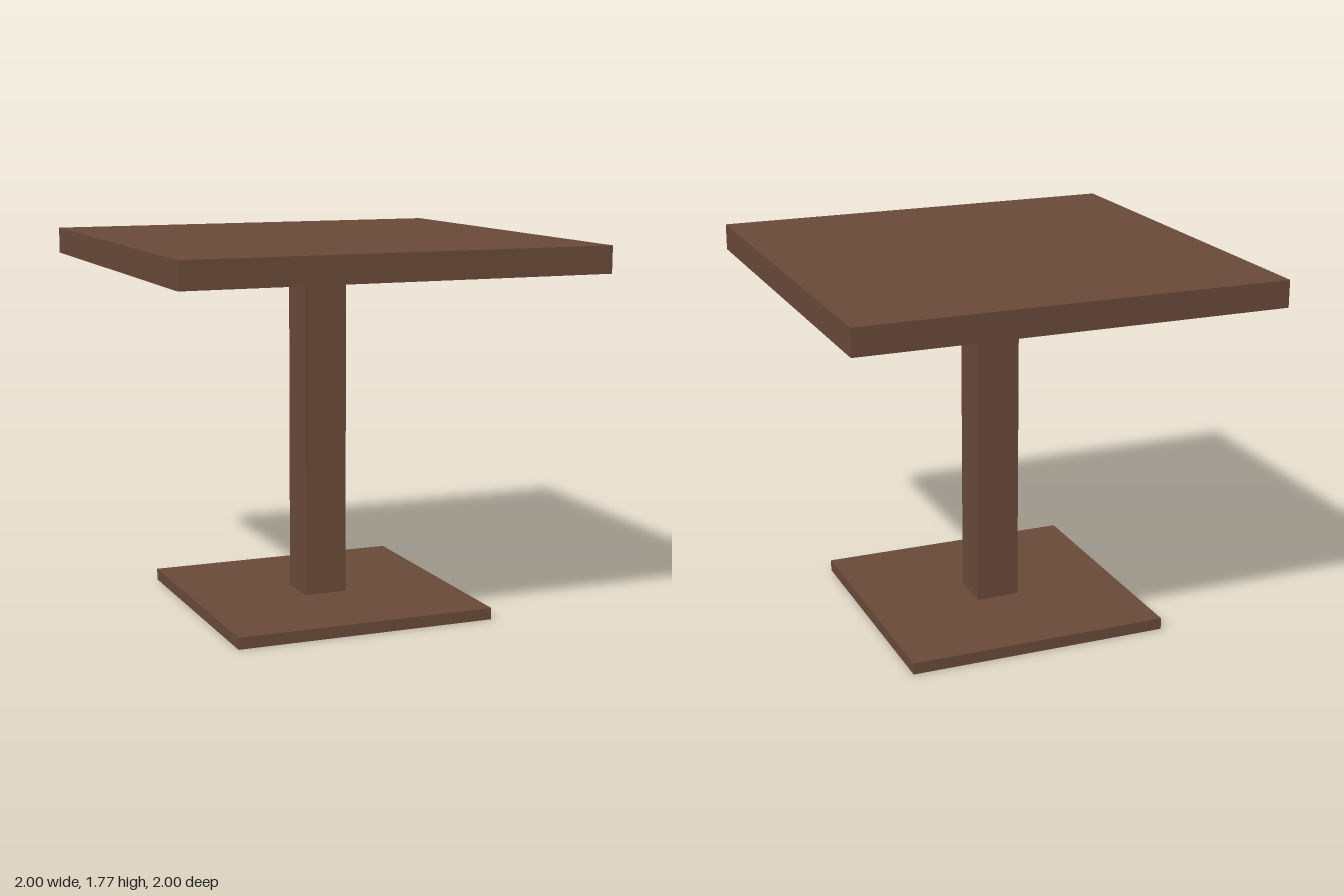
import * as THREE from 'three';

export function createModel() {
  const group = new THREE.Group();
  const wood = new THREE.MeshStandardMaterial({ color: 0x684938 });
  wood.name = 'brownWood';

  // Square slab centred on the y axis, from height y0 to y1
  function slab(name, width, y0, y1) {
    const mesh = new THREE.Mesh(new THREE.BoxGeometry(width, y1 - y0, width), wood);
    mesh.position.y = (y0 + y1) / 2;
    mesh.name = name;
    group.add(mesh);
  }

  slab('base', 1.255, 0, 0.055);
  slab('column', 0.208, 0.055, 1.645);
  slab('tableTop', 2, 1.645, 1.77);

  return group;
}
